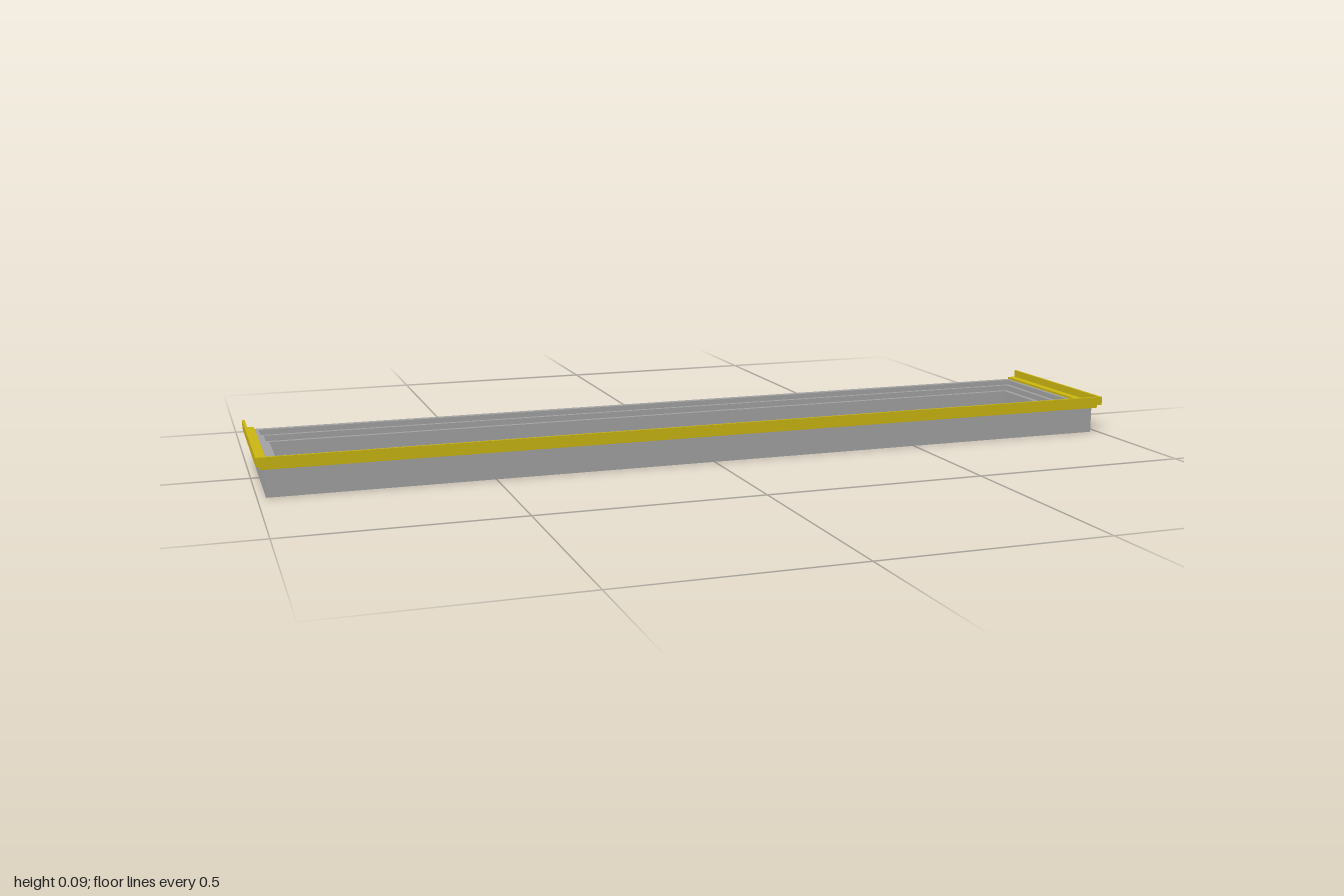
import * as THREE from 'three';

// Sweep a closed profile of [inset, y] points along rectangle corners.
// Each corner is { x, z, ix, iz }: position plus inward direction of the inset.
function sweep(corners, profile, closed) {
  const pos = [];
  const at = (c, [d, y]) => [c.x + c.ix * d, y, c.z + c.iz * d];
  const n = corners.length, m = profile.length;
  for (let i = 0; i < (closed ? n : n - 1); i++) {
    const a = corners[i], b = corners[(i + 1) % n];
    for (let j = 0; j < m; j++) {
      const p = profile[j], q = profile[(j + 1) % m];
      pos.push(...at(a, p), ...at(b, p), ...at(b, q), ...at(a, p), ...at(b, q), ...at(a, q));
    }
  }
  if (!closed) {
    // end caps of a convex profile
    const s = corners[0], e = corners[n - 1];
    for (let j = 1; j < m - 1; j++) {
      pos.push(...at(s, profile[0]), ...at(s, profile[j]), ...at(s, profile[j + 1]));
      pos.push(...at(e, profile[0]), ...at(e, profile[j + 1]), ...at(e, profile[j]));
    }
  }
  const geo = new THREE.BufferGeometry();
  geo.setAttribute('position', new THREE.Float32BufferAttribute(pos, 3));
  geo.computeVertexNormals();
  return geo;
}

export function createModel() {
  const group = new THREE.Group();
  const grey = new THREE.MeshStandardMaterial({ color: 0xa3a3a3 });
  const yellow = new THREE.MeshStandardMaterial({ color: 0xcbb612 });
  const green = new THREE.MeshStandardMaterial({ color: 0x00d020 });
  const add = (name, geo, mat) => {
    const mesh = new THREE.Mesh(geo, mat);
    mesh.name = name;
    group.add(mesh);
    return mesh;
  };

  // Mitred frame with rebates stepping down towards the opening
  const frameCorners = [
    { x: 0.982, z: 0.184, ix: -1, iz: -1.2 },
    { x: 0.982, z: -0.2, ix: -1, iz: 1 },
    { x: -0.982, z: -0.2, ix: 1, iz: 1 },
    { x: -0.982, z: 0.184, ix: 1, iz: -1.2 },
  ];
  add('frame', sweep(frameCorners, [
    [0, 0], [0, 0.067], [0.016, 0.067], [0.016, 0.055],
    [0.026, 0.055], [0.026, 0.042], [0.037, 0.042], [0.037, 0],
  ], true), grey);

  // Trim around the left, front and right sides; open at the back
  const trimCorners = [
    { x: -1, z: -0.2, ix: 1, iz: 0 },
    { x: -1, z: 0.2, ix: 1, iz: -1 },
    { x: 1, z: 0.2, ix: -1, iz: -1 },
    { x: 1, z: -0.2, ix: -1, iz: 0 },
  ];
  const bar = (d0, d1, y0, y1) => [[d0, y0], [d0, y1], [d1, y1], [d1, y0]];
  add('trimLip', sweep(trimCorners, bar(0, 0.006, 0.069, 0.089), false), yellow);
  add('trimLedge', sweep(trimCorners, bar(0.006, 0.025, 0.069, 0.072), false), yellow);
  add('trimBase', sweep(trimCorners, bar(0.008, 0.025, 0.061, 0.069), false), yellow);

  // Thin marker strips at the foot of the inner left edge
  for (const z of [-0.14, 0.117]) {
    add('markerStrip', new THREE.BoxGeometry(0.008, 0.001, 0.045), green).position.set(0.942, 0.002, z);
  }
  return group;
}
